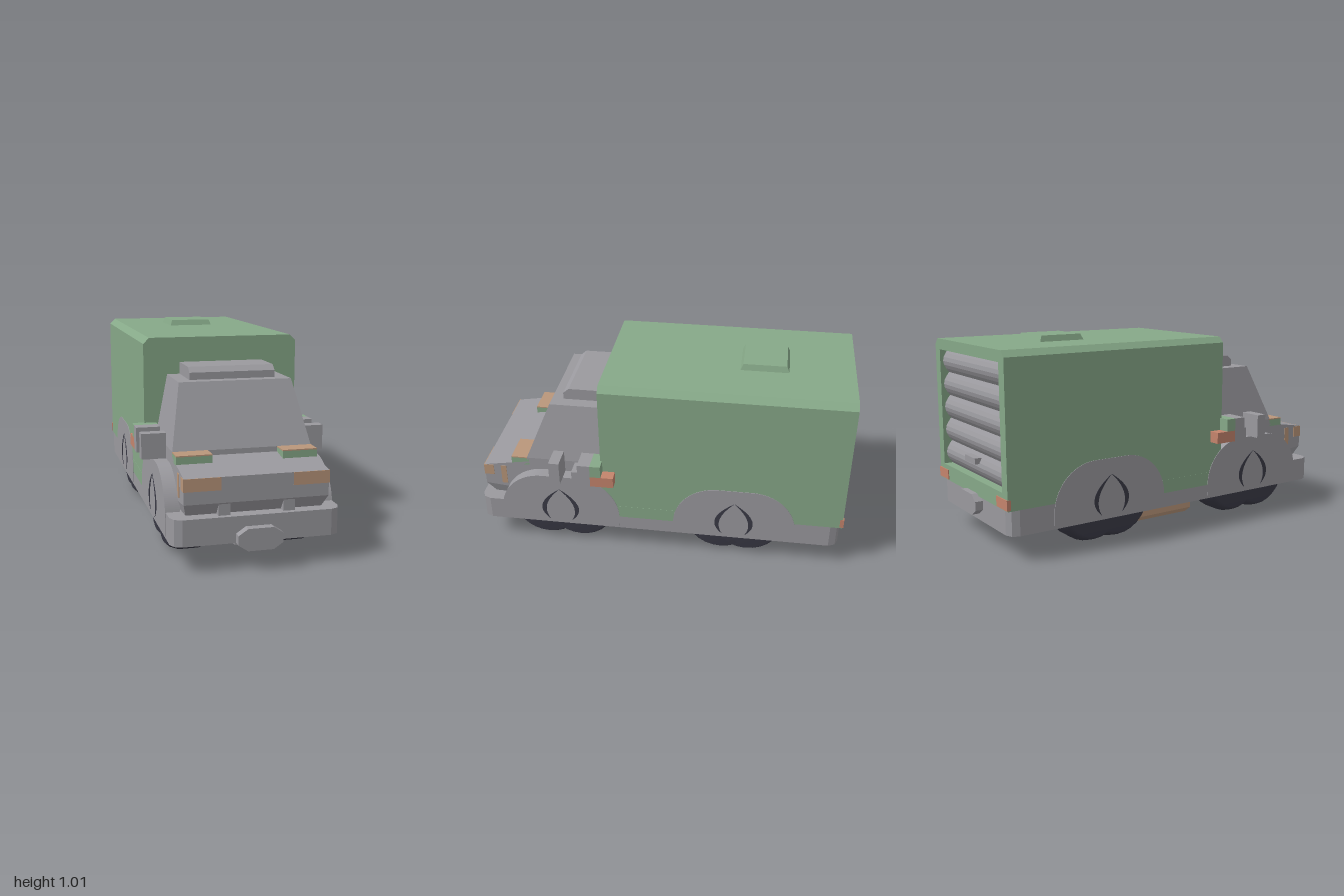
import * as THREE from 'three';
import { ConvexGeometry } from 'three/addons/geometries/ConvexGeometry.js';

const mat = (name, color, extra = {}) => Object.assign(new THREE.MeshStandardMaterial({ color, ...extra }), { name });

export function createModel() {
  const root = new THREE.Group();
  root.name = 'boxTruck';
  const green = mat('cargo green', 0x86a888);
  const gray = mat('body gray', 0x9a999e);
  const tan = mat('lamp tan', 0xb9967a);
  const red = mat('marker red', 0xc4846c);
  const dark = mat('tyre dark', 0x3a3a46);

  const add = (name, geo, material, x = 0, y = 0, z = 0) => {
    const m = new THREE.Mesh(geo, material);
    m.name = name;
    m.position.set(x, y, z);
    root.add(m);
    return m;
  };
  // Box given by its limits
  const box = (name, material, x0, x1, y0, y1, z0, z1) =>
    add(name, new THREE.BoxGeometry(x1 - x0, y1 - y0, z1 - z0), material, (x0 + x1) / 2, (y0 + y1) / 2, (z0 + z1) / 2);
  // Same box on both sides
  const pair = (name, material, x0, x1, ...r) => {
    box(name + 'Left', material, x0, x1, ...r);
    box(name + 'Right', material, -x1, -x0, ...r);
  };
  // Convex solid, symmetric in x, from [halfWidth, y, z] points
  const solid = (name, material, pts) => add(name, new ConvexGeometry(
    pts.flatMap(([x, y, z]) => [new THREE.Vector3(x, y, z), new THREE.Vector3(-x, y, z)])), material);
  const shapeOf = pts => new THREE.Shape(pts.map(p => new THREE.Vector2(...p)));
  const extrude = (shape, depth) => new THREE.ExtrudeGeometry(shape, { depth, bevelEnabled: false, curveSegments: 20 });

  // Chassis slab with cut corners
  const chassis = extrude(shapeOf([[-0.35, -0.96], [0.35, -0.96], [0.385, -0.945], [0.4, -0.91], [0.4, 0.91],
    [0.385, 0.945], [0.35, 0.96], [-0.35, 0.96], [-0.385, 0.945], [-0.4, 0.91], [-0.4, -0.91], [-0.385, -0.945]]), 0.125);
  chassis.rotateX(-Math.PI / 2);
  add('chassis', chassis, gray, 0, 0.125, 0);

  // Bumper pads, front and rear
  const pad = () => extrude(shapeOf([[-0.06, -0.052], [0.06, -0.052], [0.105, -0.022], [0.105, 0.022],
    [0.06, 0.052], [-0.06, 0.052], [-0.105, 0.022], [-0.105, -0.022]]), 0.05);
  add('frontPad', pad(), gray, 0, 0.148, 0.95);
  add('rearPad', pad(), gray, 0, 0.21, -1);

  // Ribs under both ends
  for (const z of [0.84, 0.9]) box('frontRib', gray, -0.1, 0.1, 0.1, 0.13, z - 0.02, z + 0.02);
  for (const z of [-0.76, -0.82, -0.88]) box('rearRib', gray, -0.15, 0.15, 0.1, 0.13, z - 0.02, z + 0.02);

  // Cargo body: chamfered profile, with a hollow rear frame
  const profile = () => shapeOf([[-0.4, 0.25], [0.4, 0.25], [0.4, 0.955], [0.37, 0.985], [-0.37, 0.985], [-0.4, 0.955]]);
  add('cargoBody', extrude(profile(), 1.2), green, 0, 0, -0.91);
  const frame = profile();
  frame.holes.push(new THREE.Path([[-0.345, 0.33], [-0.345, 0.93], [0.345, 0.93], [0.345, 0.33]].map(p => new THREE.Vector2(...p))));
  add('rearFrame', extrude(frame, 0.06), green, 0, 0, -0.97);
  pair('cargoSkirt', green, 0.392, 0.401, 0.2, 0.27, -0.13, 0.24);

  // Roller shutter with five bulging slats
  const slats = [[0.905, 0.33]];
  for (let i = 0; i <= 30; i++) slats.push([0.925 + 0.03 * Math.abs(Math.sin(i * Math.PI / 6)), 0.33 + 0.02 * i]);
  slats.push([0.905, 0.93]);
  const shutter = extrude(shapeOf(slats), 0.69);
  shutter.rotateY(Math.PI / 2).rotateY(Math.PI).rotateY(-Math.PI / 2);
  shutter.rotateY(Math.PI / 2);
  shutter.computeBoundingBox();
  const c = shutter.boundingBox.getCenter(new THREE.Vector3());
  // Turn the slats so that they bulge to the rear
  shutter.translate(-c.x, 0, -c.z);
  shutter.rotateY(shutter.boundingBox.max.x - shutter.boundingBox.min.x > 0.3 ? 0 : Math.PI / 2);
  if (c.x > 0.5 || c.z > 0.5) shutter.rotateY(Math.PI);
  add('shutter', shutter, gray, 0, 0, -0.93);
  box('shutterHandle', gray, -0.06, 0.06, 0.405, 0.435, -0.975, -0.94);
  pair('tailLamp', red, 0.29, 0.402, 0.255, 0.305, -0.975, -0.955);

  // Roof hatch
  solid('roofHatch', green, [[0.122, 0.98, -0.64], [0.122, 0.98, -0.39], [0.11, 1.015, -0.625], [0.11, 1.015, -0.405]]);

  // Cab, roof deflector and nose
  solid('cab', gray, [[0.34, 0.45, 0.28], [0.34, 0.45, 0.7], [0.34, 0.495, 0.7], [0.34, 0.495, 0.28],
    [0.28, 0.8, 0.57], [0.28, 0.8, 0.28]]);
  solid('roofDeflector', gray, [[0.215, 0.79, 0.28], [0.215, 0.79, 0.51], [0.215, 0.835, 0.51],
    [0.215, 0.86, 0.48], [0.215, 0.86, 0.28]]);
  solid('nose', gray, [[0.34, 0.24, 0.28], [0.34, 0.47, 0.28], [0.34, 0.47, 0.7], [0.34, 0.43, 0.94],
    [0.34, 0.31, 0.94], [0.32, 0.24, 0.89]]);
  pair('grilleRib', gray, 0.125, 0.18, 0.245, 0.31, 0.85, 0.935);

  // Lamps on the nose
  pair('headlamp', tan, 0.17, 0.343, 0.37, 0.43, 0.89, 0.943);
  pair('sideMarker', tan, 0.335, 0.343, 0.32, 0.43, 0.82, 0.85);
  pair('hoodBlock', green, 0.17, 0.34, 0.45, 0.49, 0.69, 0.785);
  pair('hoodLamp', tan, 0.17, 0.34, 0.49, 0.496, 0.69, 0.785);

  // Mirrors and side fittings
  pair('frontMirror', gray, 0.34, 0.46, 0.43, 0.555, 0.495, 0.55);
  pair('mirrorArm', gray, 0.33, 0.43, 0.43, 0.49, 0.4, 0.44);
  pair('rearMirror', gray, 0.34, 0.46, 0.43, 0.555, 0.335, 0.4);
  pair('sideBlock', green, 0.34, 0.46, 0.49, 0.555, 0.28, 0.335);
  pair('sideLamp', red, 0.34, 0.46, 0.432, 0.49, 0.215, 0.335);

  // Fuel box under the chassis
  solid('fuelBox', tan, [[0.21, 0.13, -0.2], [0.21, 0.13, 0.235], [0.21, 0.025, -0.2], [0.21, 0.025, 0.235],
    [0.19, 0, -0.18], [0.19, 0, 0.215]]);

  // Overlapping tyre pairs, rounded fenders and dark wheel slits
  const tyre = new THREE.LatheGeometry([[0, -0.107], [0.165, -0.107], [0.185, -0.085], [0.2, -0.045], [0.2, 0.045],
    [0.185, 0.085], [0.165, 0.107], [0, 0.107]].map(p => new THREE.Vector2(...p)), 28);
  tyre.rotateZ(Math.PI / 2);
  for (const [label, zc, off] of [['front', 0.52, 0.09], ['rear', -0.41, 0.07]]) {
    const arch = new THREE.Shape();
    const r = 0.23;
    arch.moveTo(-0.32, 0.14);
    arch.lineTo(0.32, 0.14);
    arch.absarc(0.32 - r, 0.2, r, 0, Math.PI / 2);
    arch.absarc(r - 0.32, 0.2, r, Math.PI / 2, Math.PI);
    for (const s of [1, -1]) {
      for (const d of [off, -off]) add(label + 'Tyre', tyre, dark, s * 0.263, 0.2, zc + d);
      const fender = extrude(arch, 0.07);
      fender.rotateY(Math.PI / 2);
      add(label + 'Fender', fender, gray, s > 0 ? 0.333 : -0.403, 0, zc);
      for (const side of [1, -1]) {
        // Crescent along the edge where the tyres cross
        const slit = new THREE.Shape();
        slit.moveTo(0, 0.35);
        slit.quadraticCurveTo(side * 0.165, 0.24, side * 0.06, 0.15);
        slit.quadraticCurveTo(side * 0.115, 0.24, 0, 0.35);
        const g = extrude(slit, 0.006);
        g.rotateY(Math.PI / 2);
        add(label + 'WheelSlit', g, dark, s > 0 ? 0.399 : -0.405, 0, zc);
      }
    }
  }
  return root;
}
